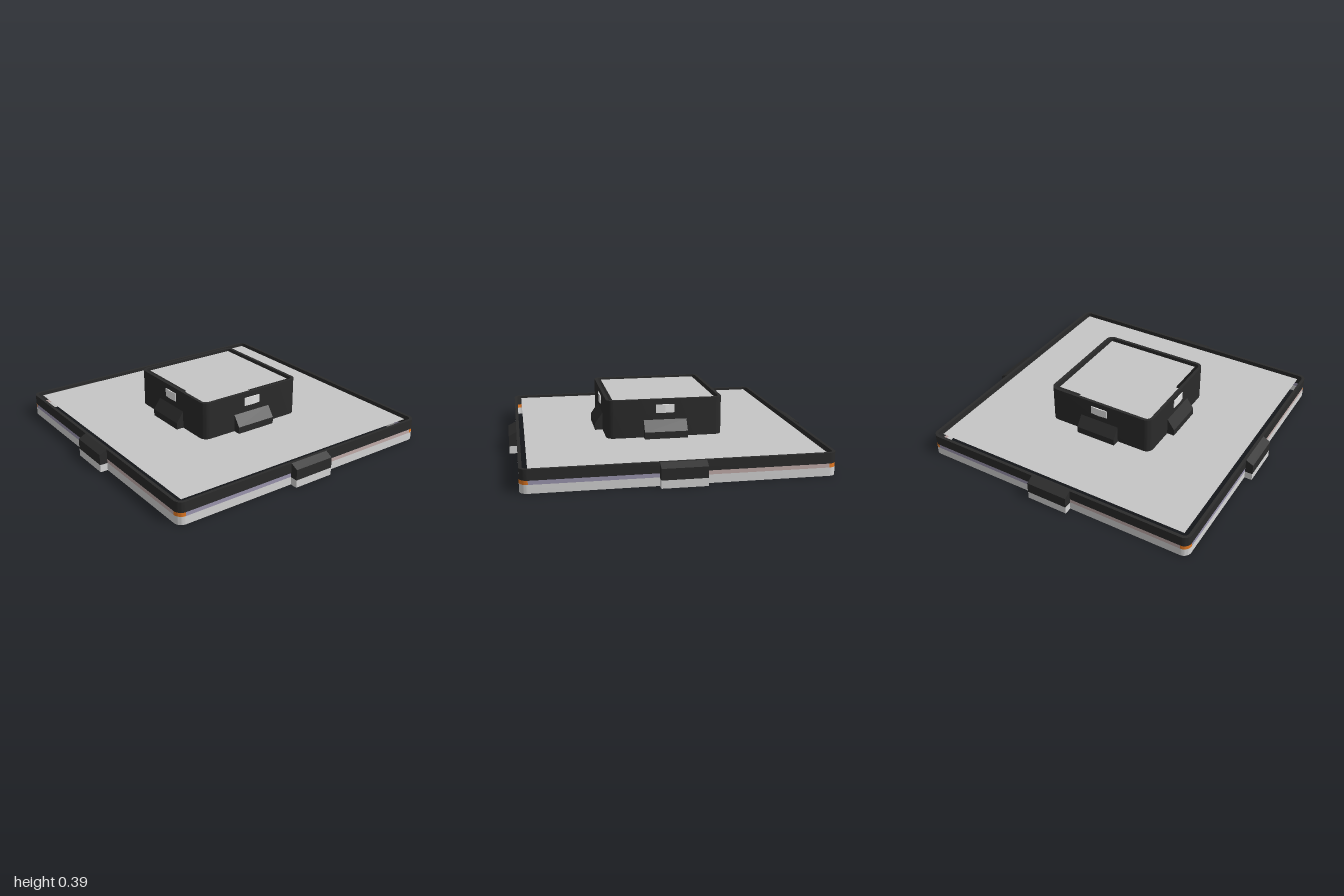
import * as THREE from 'three';
import { toCreasedNormals } from 'three/addons/utils/BufferGeometryUtils.js';

const mat = (name, color, side = THREE.FrontSide) => {
  const m = new THREE.MeshStandardMaterial({ color, side });
  m.name = name;
  return m;
};

// Rounded square outline, optionally with a rectangular bump on each side
function outline(Type, h, r, bumpHalf = 0, bump = 0) {
  const s = new Type();
  for (let k = 0; k < 4; k++) {
    const a = k * Math.PI / 2, c = Math.cos(a), n = Math.sin(a);
    const to = (x, y) => (k === 0 && s.curves.length === 0 && !to.started)
      ? (to.started = true, s.moveTo(x * c - y * n, x * n + y * c))
      : s.lineTo(x * c - y * n, x * n + y * c);
    to(h, -h + r);
    if (bump) {
      to(h, -bumpHalf);
      to(h + bump, -bumpHalf);
      to(h + bump, bumpHalf);
      to(h, bumpHalf);
    }
    to(h, h - r);
    const o = h - r;
    s.absarc(o * c - o * n, o * n + o * c, r, a, a + Math.PI / 2, false);
  }
  s.closePath();
  return s;
}

// Extrudes a plan shape upwards from y0 to y1
function raise(shape, y0, y1) {
  const g = new THREE.ExtrudeGeometry(shape, { depth: y1 - y0, bevelEnabled: false, curveSegments: 6 });
  g.rotateX(-Math.PI / 2).translate(0, y0, 0);
  return toCreasedNormals(g, 0.6);
}

export function createModel() {
  const black = mat('black casing', 0x2b2b2b);
  const clear = mat('pale skirt', 0xd6d6d6);
  const panel = mat('grey panel', 0xc6c6c6, THREE.DoubleSide);
  const orange = mat('orange marker', 0xe67a22);
  const violet = mat('violet strip', 0x9c96b0);
  const pink = mat('pink strip', 0xc4aeac);
  const lamp = mat('white lamp', 0xe6e6e6);

  const model = new THREE.Group();
  const add = (parent, name, geometry, material) => {
    const m = new THREE.Mesh(geometry, material);
    m.name = name;
    parent.add(m);
    return m;
  };

  const R = 0.05, WALL = 0.02, TAB = 0.14, OUT = 0.05;
  const SKIRT = 0.053, STRIP = 0.078;

  // One open casing: skirt, coloured strip, black wall, four tabs, top panel
  function casing(name, h, top, tabShoulder, tabTop, panelHalf, panelY) {
    const g = new THREE.Group();
    g.name = name;
    model.add(g);

    const skirt = outline(THREE.Shape, h, R, TAB, OUT);
    skirt.holes.push(outline(THREE.Path, h - 0.01, R - 0.01, TAB - 0.01, OUT));
    add(g, 'skirt', raise(skirt, 0, SKIRT), clear);

    const wall = outline(THREE.Shape, h, R);
    wall.holes.push(outline(THREE.Path, h - WALL, R - WALL));
    add(g, 'wall', raise(wall, STRIP, top), black);

    // Tab profile in the outward/up plane
    const tab = new THREE.Shape([
      [h - WALL, 0.05], [h + OUT + 0.0005, 0.05], [h + OUT + 0.0005, tabShoulder], [h, tabTop], [h - WALL, tabTop - 0.001],
    ].map(p => new THREE.Vector2(...p)));
    const tabGeo = new THREE.ExtrudeGeometry(tab, { depth: 2 * TAB + 0.001, bevelEnabled: false });
    tabGeo.translate(0, 0, -TAB - 0.0005).rotateY(-Math.PI / 2);

    // Quarter ring marker for the corner
    const corner = new THREE.Shape();
    corner.absarc(h - R, h - R, R, 0, Math.PI / 2, false);
    corner.absarc(h - R, h - R, R - WALL, Math.PI / 2, 0, true);
    const cornerGeo = raise(corner, SKIRT, STRIP);

    const len = h - R - TAB;
    const stripGeo = new THREE.BoxGeometry(len, STRIP - SKIRT, WALL);
    for (let k = 0; k < 4; k++) {
      const side = new THREE.Group();
      side.name = 'side';
      side.rotation.y = k * Math.PI / 2;
      g.add(side);
      add(side, 'tab', tabGeo, black);
      add(side, 'cornerMarker', cornerGeo, orange);
      for (const s of [-1, 1]) {
        add(side, 'strip', stripGeo, s < 0 ? violet : pink)
          .position.set(s * (TAB + len / 2), (SKIRT + STRIP) / 2, h - WALL / 2);
      }
    }

    // Thin panel with a gap to the wall all round
    const sheet = new THREE.PlaneGeometry(2 * panelHalf, 2 * panelHalf).rotateX(-Math.PI / 2);
    add(g, 'panel', sheet, panel).position.y = panelY;
    return g;
  }

  casing('base', 0.95, 0.145, 0.12, 0.145, 0.9, 0.135);
  const tower = casing('tower', 0.38, 0.385, 0.18, 0.25, 0.335, 0.377);

  // Shallow creased lamp on each tower side
  const lampShape = new THREE.Shape([[-0.06, 0.002], [-0.06, -0.004], [0, -0.009], [0.06, -0.004], [0.06, 0.002]]
    .map(p => new THREE.Vector2(...p)));
  const lampGeo = new THREE.ExtrudeGeometry(lampShape, { depth: 0.055, bevelEnabled: false });
  lampGeo.rotateX(-Math.PI / 2).translate(0, 0.295, 0.38);
  for (let k = 0; k < 4; k++) {
    add(tower, 'lamp', lampGeo, lamp).rotation.y = k * Math.PI / 2;
  }
  return model;
}
